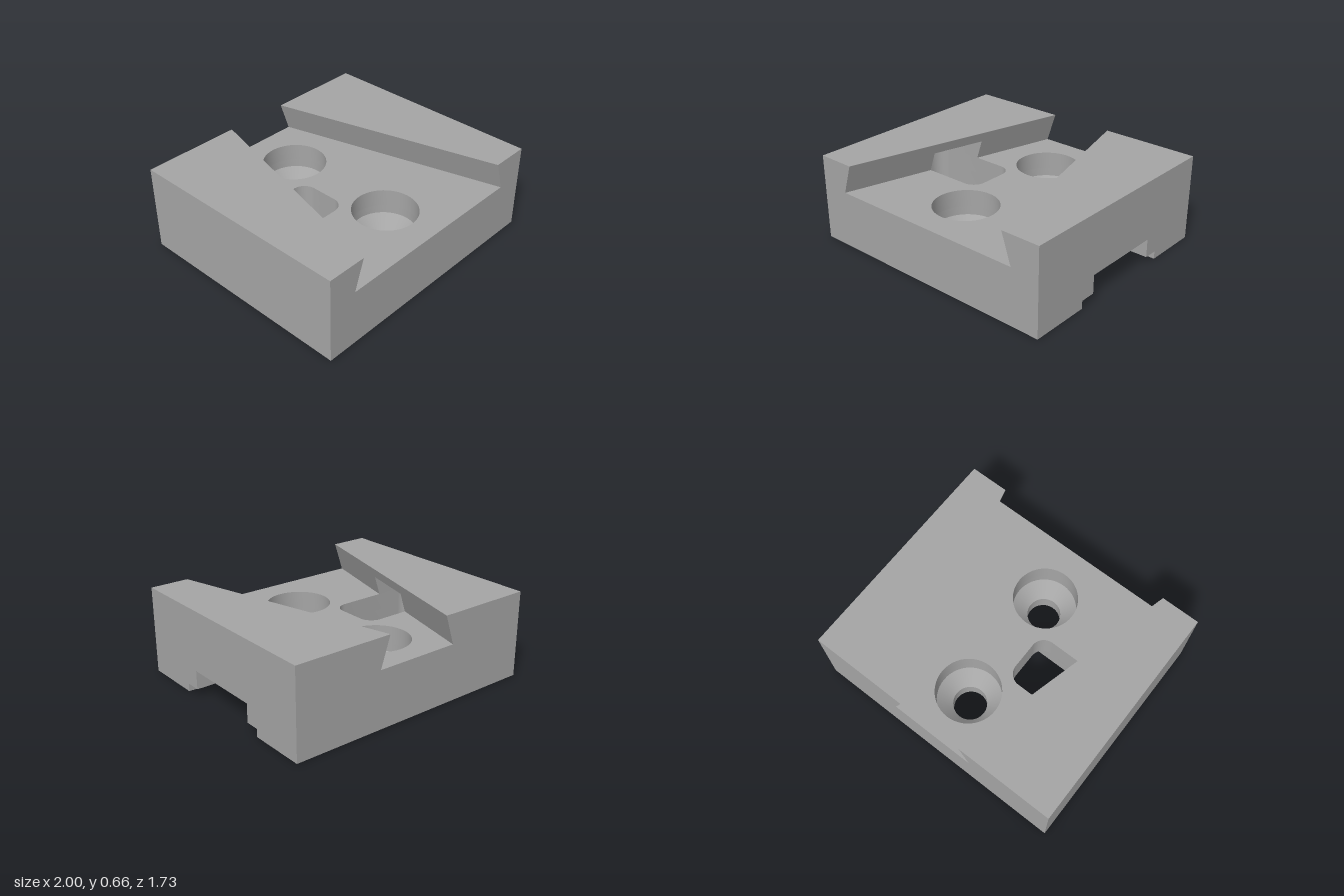
import * as THREE from 'three';
import { toCreasedNormals } from 'three/addons/utils/BufferGeometryUtils.js';

const PI = Math.PI;
const W = 1, D = 0.865;                       // half width and half depth of the block
const FLOOR = 0.43, TOP = 0.657;              // dovetail floor and top of the rails
const SLOT = { end: -0.9, start: -0.15, z0: -0.21, z1: 0.19, top: 0.58 };
const LEAN = 0.075 / (TOP - FLOOR);           // undercut of the rails per unit of height
const BORE_Z = [-0.462, 0.438];
const BORE_R = 0.126, HEAD_R = 0.239;         // bolt hole and its counterbore
const CONE_Y0 = 0.12, CONE_Y1 = 0.235;        // conical seat of the counterbore

const material = new THREE.MeshStandardMaterial({ color: 0xa5a5a5 });
const openMaterial = new THREE.MeshStandardMaterial({ color: 0xa5a5a5, side: THREE.DoubleSide });

// half width of the tapered channel at its floor
const channel = (z) => 0.327 + 0.453 * (z + D) / (2 * D);

// plan shape (x, z) extruded between two heights
function slab(shape, y0, y1) {
  const g = new THREE.ExtrudeGeometry(shape, { depth: y1 - y0, bevelEnabled: false, curveSegments: 24 });
  return g.rotateX(PI / 2).translate(0, y1, 0);
}

function mesh(name, geometry, mat = material) {
  const m = new THREE.Mesh(toCreasedNormals(geometry, 0.5), mat);
  m.name = name;
  return m;
}

function drill(shape, x, z, r) {
  shape.holes.push(new THREE.Path().absarc(x, z, r, 0, 2 * PI, true));
}

const drillBores = (shape, r) => BORE_Z.forEach((z) => drill(shape, 0, z, r));

// blind round sockets in the underside
function drillSockets(shape) {
  for (const z of [-0.66, 0.637]) {
    for (const s of [-1, 1]) {
      drill(shape, s * 0.7, z, 0.1);
      drill(shape, s * 0.375, z, 0.15);
    }
  }
}

function rect() {
  return new THREE.Shape([[-W, -D], [W, -D], [W, D], [-W, D]].map((p) => new THREE.Vector2(...p)));
}

// rounded end of a pocket, drawn from its -z side to its +z side
function pocketEnd(path, x, z0, z1, r) {
  path.absarc(x + r, z0 + r, r, -PI / 2, -PI, true);
  path.absarc(x + r, z1 - r, r, PI, PI / 2, true);
}

function startBase() {
  const s = new THREE.Shape();
  s.moveTo(-W, -D);
  s.lineTo(W, -D);
  return s;
}

function closeBase(s) {
  s.lineTo(W, D);
  s.lineTo(-W, D);
  s.closePath();
  return s;
}

// bottom layer: shallow recess open to +x, narrowed by a round boss at each bore
function recessShape() {
  const s = startBase(), r = 0.197;
  const a0 = Math.asin((-0.44 - BORE_Z[0]) / r), a1 = Math.asin((BORE_Z[1] - 0.413) / r);
  s.lineTo(W, -0.44);
  s.absarc(0, BORE_Z[0], r, a0, PI - a0, false);
  pocketEnd(s, SLOT.end, -0.44, 0.413, 0.1);
  s.absarc(0, BORE_Z[1], r, PI + a1, 2 * PI - a1, false);
  s.lineTo(W, 0.413);
  return closeBase(s);
}

// deep pocket, wide at the open end and narrow beyond, with four small screw holes
function pocketShape() {
  const s = startBase();
  s.lineTo(W, -0.333);
  s.absarc(0.63, -0.233, 0.1, -PI / 2, -PI, true);
  s.lineTo(0.53, SLOT.z0);
  pocketEnd(s, SLOT.end, SLOT.z0, SLOT.z1, 0.1);
  s.lineTo(0.53, SLOT.z1);
  s.absarc(0.63, 0.195, 0.1, PI, PI / 2, true);
  s.lineTo(W, 0.295);
  for (const x of [0.45, -0.75]) for (const z of [-0.345, 0.31]) drill(s, x, z, 0.03);
  return closeBase(s);
}

// opening that joins the deep pocket to the channel floor
function slottedRect() {
  const shape = rect(), p = new THREE.Path(), r = 0.1, x = SLOT.start - r;
  p.moveTo(x, SLOT.z0);
  pocketEnd(p, SLOT.end, SLOT.z0, SLOT.z1, r);
  p.absarc(x, SLOT.z1 - r, r, PI / 2, 0, true);
  p.absarc(x, SLOT.z0 + r, r, 0, -PI / 2, true);
  shape.holes.push(p);
  return shape;
}

// rail on one side; its inner edge leans over the channel
function rail(side, y0, y1, notched) {
  const s = new THREE.Shape();
  s.moveTo(side * W, -D);
  s.lineTo(side * channel(-D), -D);
  if (notched) {
    s.lineTo(side * channel(SLOT.z0), SLOT.z0);
    pocketEnd(s, SLOT.end, SLOT.z0, SLOT.z1, 0.1);
    s.lineTo(side * channel(SLOT.z1), SLOT.z1);
  }
  s.lineTo(side * channel(D), D);
  s.lineTo(side * W, D);
  s.closePath();
  const g = slab(s, y0, y1), p = g.attributes.position;
  for (let i = 0; i < p.count; i++) {
    const edge = channel(p.getZ(i));
    if (Math.abs(Math.abs(p.getX(i)) - edge) < 1e-3) {
      p.setX(i, side * (edge - LEAN * (p.getY(i) - FLOOR)));
    }
  }
  return g;
}

export function createModel() {
  const model = new THREE.Group();
  model.name = 'dovetailMount';

  // block in layers: plan, heights, bore radius, whether the sockets reach it
  const layers = [
    ['recessLayer', recessShape(), 0, 0.06, BORE_R, true],
    ['pocketLayerLower', pocketShape(), 0.06, CONE_Y0, BORE_R, true],
    ['pocketLayerUpper', pocketShape(), CONE_Y0, 0.2, HEAD_R, true],
    ['bodyLayer', slottedRect(), 0.2, 0.3, HEAD_R, true],
    ['channelFloor', slottedRect(), 0.3, FLOOR, HEAD_R, false],
  ];
  for (const [name, shape, y0, y1, boreRadius, sockets] of layers) {
    drillBores(shape, boreRadius);
    if (sockets) drillSockets(shape);
    model.add(mesh(name, slab(shape, y0, y1)));
  }

  // conical seats at the bottom of the counterbores
  for (const z of BORE_Z) {
    const profile = [new THREE.Vector2(BORE_R, CONE_Y0), new THREE.Vector2(HEAD_R, CONE_Y1)];
    const seat = mesh('boltSeat', new THREE.LatheGeometry(profile, 48), openMaterial);
    seat.position.z = z;
    model.add(seat);
  }

  // dovetail rails, the -x one notched by the slot
  model.add(mesh('leftRail', rail(1, FLOOR, TOP, false)));
  model.add(mesh('rightRailLower', rail(-1, FLOOR, SLOT.top, true)));
  model.add(mesh('rightRailUpper', rail(-1, SLOT.top, TOP, false)));
  return model;
}
